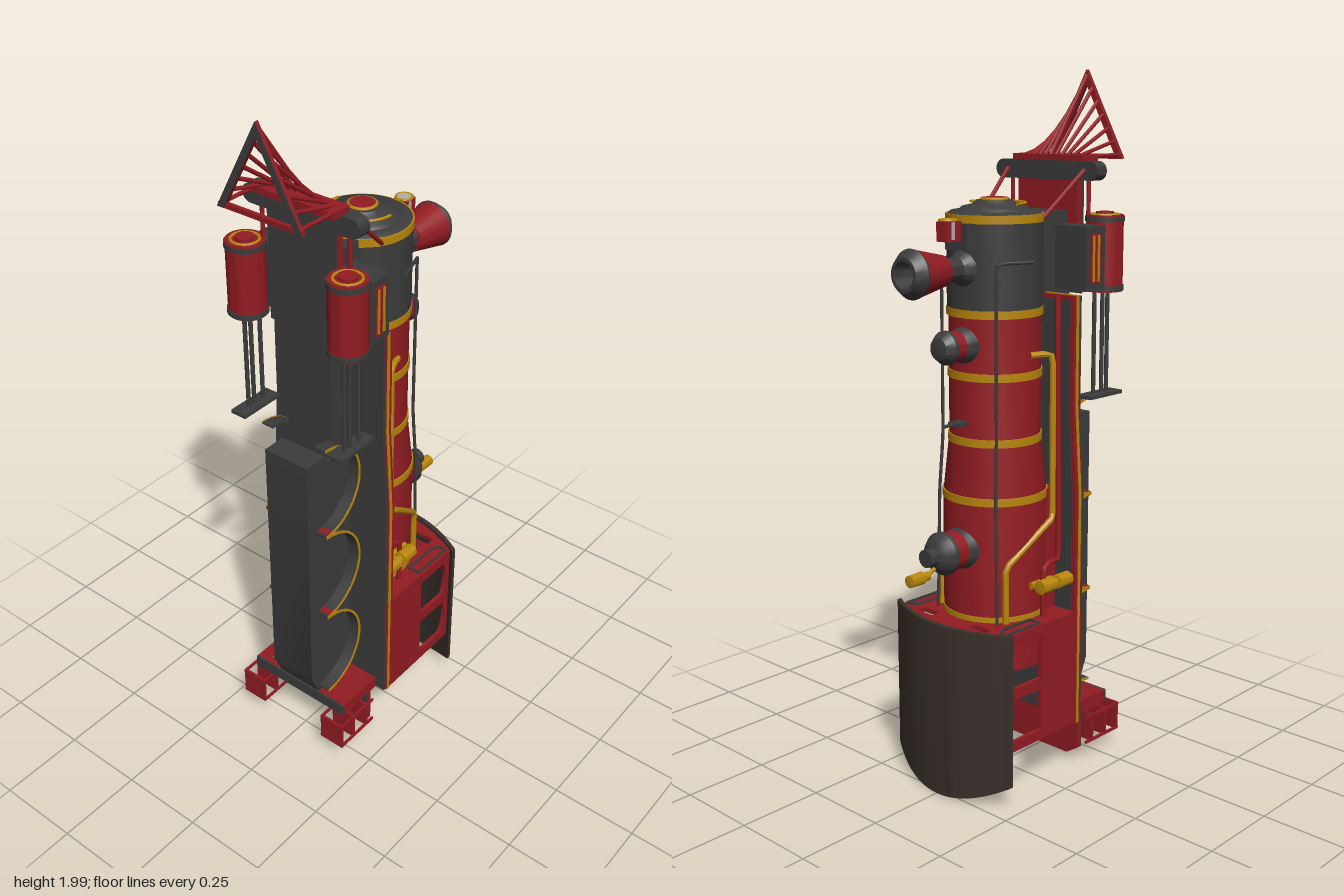
import * as THREE from 'three';
import { toCreasedNormals } from 'three/addons/utils/BufferGeometryUtils.js';

const mat = (color) => new THREE.MeshStandardMaterial({ color, side: THREE.DoubleSide });
const V = (x, y, z) => new THREE.Vector3(x, y, z);

// The locomotive stands on its rear end: y is its forward axis, +z its underside.
export function createModel() {
  const red = mat(0x921c22), dark = mat(0x3c3c3c), gold = mat(0xb8860b);
  const roofBrown = mat(0x3a312b), glass = mat(0xb0b0b0);
  const model = new THREE.Group();
  const BZ = -0.025; // boiler axis

  const add = (name, geo, m, x = 0, y = 0, z = 0) => {
    const mesh = new THREE.Mesh(toCreasedNormals(geo, 0.6), m);
    mesh.name = name;
    mesh.position.set(x, y, z);
    model.add(mesh);
    return mesh;
  };
  // box given by its limits
  const box = (name, m, x0, x1, y0, y1, z0, z1) =>
    add(name, new THREE.BoxGeometry(Math.abs(x1 - x0), y1 - y0, z1 - z0), m, (x0 + x1) / 2, (y0 + y1) / 2, (z0 + z1) / 2);
  const cylY = (name, m, r, y0, y1, x, z, r1 = r) =>
    add(name, new THREE.CylinderGeometry(r1, r, y1 - y0, 40), m, x, (y0 + y1) / 2, z);
  const lathe = (pts) => new THREE.LatheGeometry(pts.map(p => new THREE.Vector2(...p)), 40);
  // turned part rising from the boiler towards -z; profile of [radius, -z]
  const upright = (name, m, y, pts, x = 0) => add(name, lathe(pts).rotateX(-Math.PI / 2), m, x, y, 0);
  const ringY = (name, r, t, y, x, z) =>
    add(name, new THREE.TorusGeometry(r, t, 8, 48).rotateX(Math.PI / 2), gold, x, y, z);
  const tube = (name, m, r, pts) => {
    const path = new THREE.CurvePath();
    for (let i = 1; i < pts.length; i++) path.add(new THREE.LineCurve3(V(...pts[i - 1]), V(...pts[i])));
    const n = pts.length > 2 ? 40 : 1;
    const curve = pts.length > 2 ? new THREE.CatmullRomCurve3(pts.map(p => V(...p)), false, 'catmullrom', 0.15) : path;
    return add(name, new THREE.TubeGeometry(curve, n, r, 8), m);
  };
  const poly = (pts) => new THREE.Shape(pts.map(p => new THREE.Vector2(...p)));
  const extrude = (shape, depth) =>
    new THREE.ExtrudeGeometry(shape, { depth, bevelEnabled: false, curveSegments: 12 }).translate(0, 0, -depth / 2);
  const sideways = (shape, w) => extrude(shape, w).rotateY(-Math.PI / 2); // (z, y) profile across x
  const along = (shape, l) => extrude(shape, l).rotateX(Math.PI / 2);     // (x, z) profile along y
  const rect = (a, b, c, d) => poly([[a, c], [b, c], [b, d], [a, d]]);
  const both = (fn) => [1, -1].forEach(fn);

  // Boiler, smokebox and bands
  add('boiler', lathe([[0, 0.36], [0.146, 0.36], [0.146, 0.84], [0.127, 1.02], [0.127, 1.37]]), red, 0, 0, BZ);
  add('smokebox', lathe([[0.131, 1.37], [0.131, 1.62], [0.118, 1.628], [0.1, 1.628], [0.09, 1.638],
    [0.06, 1.645], [0.05, 1.655], [0, 1.655]]), dark, 0, 0, BZ);
  [[0.51, 0.147], [0.85, 0.146], [1.01, 0.129], [1.19, 0.129], [1.36, 0.131], [1.61, 0.132]].forEach(([y, r]) =>
    cylY('boilerBand', gold, r + 0.002, y - 0.011, y + 0.011, 0, BZ));
  cylY('smokeboxCentre', red, 0.034, 1.65, 1.662, 0, BZ);
  ringY('smokeboxCentreRing', 0.036, 0.005, 1.657, 0, BZ);
  add('smokeboxHandle', new THREE.TorusGeometry(0.086, 0.004, 8, 32, Math.PI).rotateX(Math.PI / 2), gold, 0, 1.647, -0.03);

  // Chimney, domes, whistle and headlight
  upright('chimneyBase', dark, 1.48, [[0.055, 0.13], [0.046, 0.158], [0.032, 0.175], [0.032, 0.225], [0.04, 0.226]]);
  upright('chimneyCone', red, 1.48, [[0.03, 0.222], [0.042, 0.228], [0.064, 0.332]]);
  upright('chimneyCap', dark, 1.48, [[0.064, 0.33], [0.066, 0.337], [0.046, 0.364], [0.036, 0.364], [0.03, 0.3], [0, 0.3]]);
  upright('sandDomeBase', dark, 1.275, [[0.055, 0.13], [0.046, 0.165], [0.042, 0.175]]);
  upright('sandDome', red, 1.275, [[0.042, 0.172], [0.042, 0.212]]);
  upright('sandDomeCap', dark, 1.275, [[0.046, 0.21], [0.046, 0.22], [0.03, 0.243], [0, 0.25]]);
  upright('steamDomeBase', dark, 0.71, [[0.07, 0.14], [0.058, 0.17], [0.054, 0.185]]);
  upright('steamDome', red, 0.71, [[0.054, 0.18], [0.054, 0.23]]);
  upright('steamDomeCap', dark, 0.71, [[0.06, 0.228], [0.06, 0.24], [0.045, 0.262], [0.025, 0.27],
    [0.025, 0.3], [0, 0.3]]);
  upright('whistle', gold, 0.66, [[0, 0.29], [0.012, 0.29], [0.012, 0.31], [0.017, 0.312], [0.017, 0.36], [0, 0.363]]);
  tube('whistleStem', gold, 0.006, [[0, 0.68, -0.25], [0, 0.66, -0.3]]);
  box('bellBracket', dark, -0.02, 0.02, 1.058, 1.068, -0.19, -0.14);
  tube('bellPost', dark, 0.005, [[0, 1.063, -0.15], [0, 1.063, -0.23]]);
  box('headlightStand', dark, -0.04, 0.04, 1.53, 1.6, -0.175, -0.14);
  box('headlightBody', red, -0.02, 0.02, 1.555, 1.607, -0.226, -0.172);
  cylY('headlightLens', glass, 0.021, 1.56, 1.612, 0, -0.203);
  ringY('headlightRing', 0.022, 0.004, 1.61, 0, -0.203);

  // Cab with bowed windows, arched front wall and overhanging roof
  const arch = (x) => -0.268 + 0.066 * (x / 0.22) ** 2;
  const archLine = (w, off) => Array.from({ length: 21 }, (_, i) => {
    const x = -w + (2 * w * i) / 20;
    return [x, arch(x) + off];
  });
  const sideWall = rect(-0.2, 0.115, 0.165, 0.505);
  [[0.35, 0.472], [0.195, 0.317]].forEach(([a, b]) => {
    const h = new THREE.Path();
    h.moveTo(-0.055, a);
    h.lineTo(-0.165, a);
    h.quadraticCurveTo(-0.2, (a + b) / 2, -0.165, b);
    h.lineTo(-0.055, b);
    h.closePath();
    sideWall.holes.push(h);
  });
  both(s => add('cabSide', sideways(sideWall, 0.012), red, s * 0.198));
  const frontWall = poly([...archLine(0.2, 0.008), [0.2, 0.115], [-0.2, 0.115]]);
  both(s => frontWall.holes.push(rect(s * 0.07, s * 0.132, -0.208, -0.179)));
  add('cabFront', along(frontWall, 0.012), red, 0, 0.5, 0);
  both(s => {
    const trim = poly([[0.155, -0.05], [0.195, -0.05], [0.195, -0.19], [0.17, -0.19], [0.155, -0.165]].map(([x, z]) => [s * x, z]));
    trim.holes.push(poly([[0.16, -0.055], [0.19, -0.055], [0.19, -0.185], [0.172, -0.185], [0.16, -0.163]].map(([x, z]) => [s * x, z])));
    add('cabFrontTrim', along(trim, 0.008), dark, 0, 0.508, 0);
  });
  const roofGeo = along(poly([...archLine(0.22, 0), ...archLine(0.22, 0.014).reverse()]), 1);
  const rp = roofGeo.attributes.position;
  for (let i = 0; i < rp.count; i++) // rear edge bows outwards
    rp.setY(i, rp.getY(i) > 0 ? 0.515 : 0.008 + 0.065 * (rp.getX(i) / 0.22) ** 2);
  add('cabRoof', roofGeo, roofBrown);
  box('cabFloor', dark, -0.195, 0.195, 0.165, 0.5, 0.1, 0.112);

  // Running board: red deck, dark faces and gold edge line
  const deck = (inset) => {
    const half = [[0.203, 0.165], [0.203, 0.85], [0.187, 1.1], [0.187, 1.4]].map(([x, y], i) =>
      [x - inset, y + (i === 0 ? inset : i === 3 ? -inset : 0)]);
    return poly([...half, ...half.map(([x, y]) => [-x, y]).reverse()]);
  };
  add('runningBoard', extrude(deck(0), 0.026), red, 0, 0, 0.1);
  add('runningBoardTop', extrude(deck(0.012), 0.004), dark, 0, 0, 0.087);
  add('runningBoardLine', extrude(deck(-0.002), 0.01), gold, 0, 0, 0.103);
  add('runningBoardUnderside', extrude(deck(0.001), 0.008), dark, 0, 0, 0.117);
  box('firebox', red, -0.13, 0.13, 0.5, 0.86, -0.02, 0.09);
  box('boilerCradle', dark, -0.075, 0.075, 0.86, 1.62, 0.06, 0.2);

  // Centre frame and wheel arches
  add('centreFrame', sideways(poly([[0.3, 0.27], [0.3, 1.035], [0.23, 1.035], [0.215, 1.01], [0.18, 1.01],
    [0.12, 1.13], [0.115, 0.2], [0.27, 0.2]]), 0.146), dark);
  both(s => [0.365, 0.655, 0.945].forEach(y => {
    const half = (x, w, r0, r1, m, name) => {
      const sh = new THREE.Shape();
      sh.absarc(0, 0, r1, Math.PI / 2, Math.PI * 1.5, false);
      sh.absarc(0, 0, r0, Math.PI * 1.5, Math.PI / 2, true);
      add(name, sideways(sh, w), m, s * x, y, 0.267);
    };
    half(0.091, 0.036, 0.14, 0.146, dark, 'wheelArch');
    half(0.11, 0.003, 0.14, 0.147, gold, 'wheelArchTrim');
  }));
  both(s => [0.51, 0.8].forEach(y => box('archBracket', red, s * 0.075, s * 0.108, y - 0.008, y + 0.008, 0.24, 0.262)));

  // Rear beam, drawplate and steps
  box('rearBeam', red, -0.17, 0.17, 0.163, 0.2, 0.11, 0.27);
  box('rearBeamUnderside', dark, -0.17, 0.17, 0.163, 0.2, 0.27, 0.276);
  const plate = poly([[-0.17, 0.17], [-0.17, 0.055], [-0.13, 0.03], [0.13, 0.03], [0.17, 0.055], [0.17, 0.17]]);
  add('drawplate', extrude(plate, 0.016), red, 0, 0, 0.153);
  add('drawplateUnderside', extrude(plate, 0.003), dark, 0, 0, 0.163);
  both(s => {
    [0.19, 0.25, 0.306].forEach(z => box('stepTread', red, s * 0.112, s * 0.192, 0.07, 0.155, z - 0.004, z + 0.004));
    [0.114, 0.19].forEach(x => [0.074, 0.151].forEach(y =>
      box('stepRail', red, s * (x - 0.003), s * (x + 0.003), y - 0.004, y + 0.004, 0.16, 0.31)));
  });

  // Cylinders, valve chests, piston rods
  both(s => {
    const x = s * 0.166, z = 0.24;
    cylY('cylinder', red, 0.052, 1.4, 1.61, x, z);
    [1.403, 1.592].forEach(y => cylY('cylinderBand', dark, 0.055, y, y + 0.014, x, z));
    ringY('cylinderRing', 0.037, 0.004, 1.61, x, z);
    cylY('cylinderBoss', red, 0.025, 1.6, 1.618, x, z);
    box('valveChest', dark, s * 0.09, s * 0.2, 1.41, 1.585, 0.12, 0.2);
    box('valveChestBand', red, s * 0.1, s * 0.204, 1.43, 1.565, 0.138, 0.178);
    [0.147, 0.168].forEach(zz => box('valveChestLine', gold, s * 0.1, s * 0.206, 1.435, 1.56, zz - 0.004, zz + 0.004));
    [0.2, 0.235, 0.257].forEach(zz => tube('pistonRod', dark, 0.006, [[x, 1.11, zz], [x, 1.41, zz]]));
    box('crosshead', dark, x - 0.025, x + 0.025, 1.104, 1.114, 0.16, 0.3);
  });

  // Front frame, buffer beam and braces
  box('frontFrame', red, -0.108, 0.108, 1.4, 1.76, 0.188, 0.208);
  box('frontFrameUnderside', dark, -0.11, 0.11, 1.39, 1.76, 0.208, 0.216);
  const beam = new THREE.Shape();
  beam.absarc(0.16, 0, 0.026, -Math.PI / 2, Math.PI / 2, false);
  beam.absarc(-0.16, 0, 0.026, Math.PI / 2, Math.PI * 1.5, false);
  add('bufferBeam', extrude(beam, 0.04), dark, 0, 1.728, 0.2);
  both(s => {
    tube('frontBrace', red, 0.006, [[s * 0.14, 1.73, 0.18], [s * 0.105, 1.57, 0.0]]);
    tube('beamRod', red, 0.006, [[s * 0.14, 1.58, 0.2], [s * 0.14, 1.72, 0.2]]);
  });

  // Pilot: V-shaped foot with sloping bars up to the beam
  box('pilotTopRail', red, -0.13, 0.13, 1.752, 1.77, 0.188, 0.25);
  box('pilotFootRail', red, -0.13, 0.13, 1.755, 1.768, 0.35, 0.362);
  const foot = poly([[-0.133, 1.756], [0, 2.0], [0.133, 1.756], [0.112, 1.756], [0, 1.962], [-0.112, 1.756]]);
  add('pilotFoot', extrude(foot, 0.01), red, 0, 0, 0.357);
  add('pilotFootUnderside', extrude(foot, 0.002), dark, 0, 0, 0.3635);
  for (let i = -6; i <= 6; i++) {
    const x = i * 0.02, yTip = 1.985 - Math.abs(x) * 1.82;
    tube('pilotBar', red, 0.0055, [[x, 1.765, 0.2], [x, yTip, 0.355]]);
  }

  // Pipes, air pumps and handrails on both flanks
  both(s => {
    tube('goldPipe', gold, 0.009, [[s * 0.125, 1.245, -0.02], [s * 0.145, 1.245, 0.035], [s * 0.152, 1.22, 0.043],
      [s * 0.155, 0.8, 0.043], [s * 0.16, 0.78, 0.03], [s * 0.127, 0.67, -0.11], [s * 0.125, 0.645, -0.115], [s * 0.125, 0.5, -0.115]]);
    tube('redPipe', red, 0.008, [[s * 0.14, 1.4, 0.075], [s * 0.15, 0.68, 0.075], [s * 0.152, 0.656, 0.06],
      [s * 0.16, 0.655, 0.01], [s * 0.16, 0.63, 0], [s * 0.16, 0.5, 0]]);
    upright('airPump', gold, 0.602, [[0, -0.09], [0.02, -0.09], [0.02, -0.035], [0.012, -0.033], [0.012, -0.02],
      [0.02, -0.018], [0.02, 0.034], [0, 0.036]], s * 0.178);
    upright('pumpCylinder', gold, 0.602, [[0, -0.045], [0.01, -0.045], [0.01, 0.04], [0, 0.04]], s * 0.15);
    tube('handrail', dark, 0.0045, [[s * 0.115, 0.5, -0.14], [s * 0.108, 0.85, -0.137], [s * 0.102, 1.02, -0.128],
      [s * 0.102, 1.48, -0.128], [s * 0.108, 1.497, -0.12], [s * 0.14, 1.497, -0.025]]);
  });
  return model;
}
